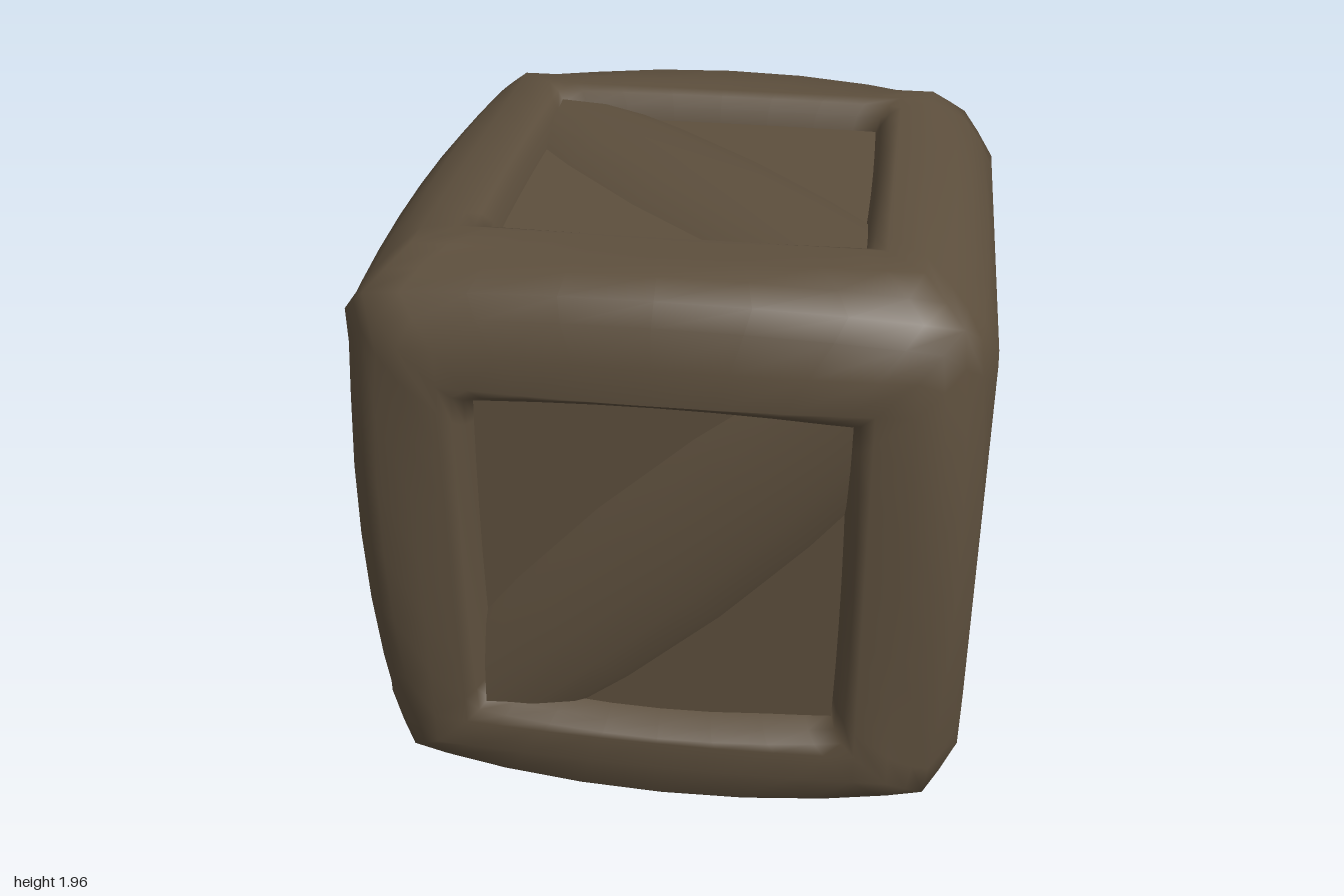
import * as THREE from 'three';
import { mergeGeometries, mergeVertices } from 'three/addons/utils/BufferGeometryUtils.js';

const V = (x, y, z) => new THREE.Vector3(x, y, z);

// Smooth surface through rows of points; every row has the same length
function loft(rows, closed) {
  const n = rows[0].length, pos = [], index = [];
  rows.forEach(row => row.forEach(p => pos.push(...p)));
  for (let i = 0; i < rows.length - 1; i++) {
    for (let j = 0; j < (closed ? n : n - 1); j++) {
      const k = (j + 1) % n;
      const a = i * n + j, b = i * n + k, c = (i + 1) * n + k, d = (i + 1) * n + j;
      index.push(a, d, b, b, d, c);
    }
  }
  const g = new THREE.BufferGeometry();
  g.setAttribute('position', new THREE.Float32BufferAttribute(pos, 3));
  g.setIndex(index);
  return g;
}

// Beam profile from the opening outwards: distance from the middle, height relative to the rim
const LIP = [[0.545, -0.11], [0.563, -0.05], [0.59, -0.015], [0.63, 0], [0.74, -0.01]];
const STEPS = [-1, -0.85, -0.6, -0.3, 0, 0.3, 0.6, 0.85];
const CORNER = 0.86;

// One side of the frame, facing +z: a square ring from the opening to the cube's edges.
// edgeU and edgeV place the middle of the edges that run along u and v.
function frameSide(height, bulge, edgeU, edgeV) {
  const rows = Array.from({ length: LIP.length + 2 }, () => []);
  for (let side = 0; side < 4; side++) {
    const c = [1, 0, -1, 0][side], s = [0, 1, 0, -1][side];
    const alongU = side % 2 === 1;
    for (const t of STEPS) {
      const bow = 1 - t * t;
      const rise = alongU ? bulge * bow : 0;
      const edge = CORNER + ((alongU ? edgeU : edgeV) - CORNER) * bow;
      const points = LIP.map(([a, h], i) => [a, a + (i < 3 ? 0.01 * bow + rise : 0), height + h + rise]);
      points.push([edge - 0.055, edge - 0.055, edge + 0.052], [edge, edge, edge]);
      points.forEach(([a, out, high], i) => {
        rows[i].push([c * out - s * t * a, s * out + c * t * a, high]);
      });
    }
  }
  return loft(rows, true);
}

// Diagonal plank, widest and highest at the middle
function braceGeometry() {
  const section = [[1, 0], [0.8, 0.45], [0.45, 0.83], [0, 1], [-0.45, 0.83], [-0.8, 0.45], [-1, 0]];
  const rows = [-0.92, -0.7, -0.4, 0, 0.4, 0.7, 0.92].map(t => {
    const half = 0.295 - 0.11 * t * t, crown = 0.955 - 0.025 * t * t;
    return section.map(([w, k]) => [t, w * half, 0.86 + k * (crown - 0.86)]);
  });
  const g = loft(rows, false);
  g.rotateZ(Math.PI / 4);
  g.computeVertexNormals();
  return g;
}

export function createModel() {
  const group = new THREE.Group();
  const wood = new THREE.MeshStandardMaterial({ color: 0x5d4f3d, side: THREE.DoubleSide });
  wood.name = 'brown wood';

  // Right and up directions of each side, rim height, bulge of its beams, and edge positions
  const ex = 0.918, ey = 0.907, ez = 0.885;
  const sides = [
    ['front', V(1, 0, 0), V(0, 1, 0), 0.978, 0.022, ex, ey],
    ['back', V(-1, 0, 0), V(0, 1, 0), 0.978, 0.022, ex, ey],
    ['left', V(0, 0, -1), V(0, 1, 0), 0.975, 0, ez, ey],
    ['right', V(0, 0, 1), V(0, 1, 0), 0.975, 0, ez, ey],
    ['top', V(0, 0, 1), V(1, 0, 0), 0.98, 0, ez, ex],
    ['bottom', V(0, 0, -1), V(1, 0, 0), 0.98, 0, ez, ex],
  ];
  const panel = new THREE.BoxGeometry(1.2, 1.2, 0.04);
  panel.translate(0, 0, 0.862);
  const brace = braceGeometry();
  const frameParts = [];

  for (const [name, u, v, ...shape] of sides) {
    const turn = new THREE.Matrix4().makeBasis(u, v, u.clone().cross(v));
    frameParts.push(frameSide(...shape).applyMatrix4(turn));
    for (const [part, geometry] of [['Panel', panel], ['Brace', brace]]) {
      const mesh = new THREE.Mesh(geometry, wood);
      mesh.name = name + part;
      mesh.applyMatrix4(turn);
      group.add(mesh);
    }
  }

  // All beams joined so the shading runs smoothly round the edges
  const frameGeometry = mergeVertices(mergeGeometries(frameParts), 1e-3);
  frameGeometry.computeVertexNormals();
  const frame = new THREE.Mesh(frameGeometry, wood);
  frame.name = 'frame';
  group.add(frame);

  group.position.y = 0.985;
  return group;
}
